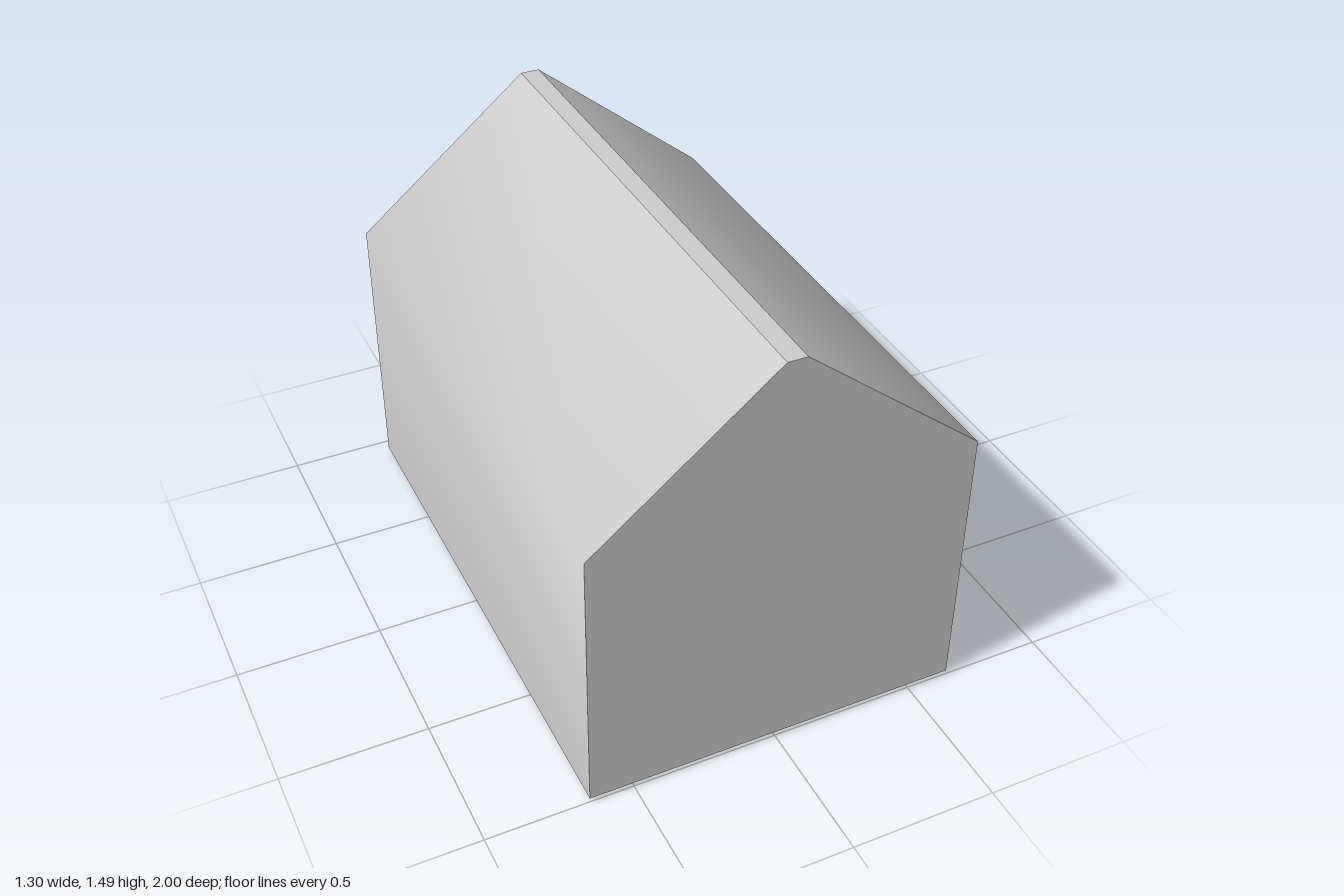
import * as THREE from 'three';

const grey = new THREE.MeshStandardMaterial({ color: 0xcccccc });
const brown = new THREE.MeshStandardMaterial({ color: 0x8b6b4f });

function add(parent, name, geometry, material, x = 0, y = 0, z = 0) {
  const mesh = new THREE.Mesh(geometry, material);
  mesh.name = name;
  mesh.position.set(x, y, z);
  parent.add(mesh);
  return mesh;
}

// Lengthwise surface swept along z from a profile of [x, y] points; normals blend along it
function strip(profile, zFront, zBack) {
  const position = [], index = [];
  profile.forEach(([x, y], i) => {
    position.push(x, y, zFront, x, y, zBack);
    if (i) {
      const a = 2 * (i - 1);
      index.push(a, a + 1, a + 2, a + 1, a + 3, a + 2);
    }
  });
  const g = new THREE.BufferGeometry();
  g.setAttribute('position', new THREE.Float32BufferAttribute(position, 3));
  g.setIndex(index);
  g.computeVertexNormals();
  return g;
}

export function createModel() {
  const house = new THREE.Group();
  house.name = 'house';

  // Shell: smooth eaves, hard ridge and gable edges
  const W = 0.65, base = 0.015, eave = 0.985, top = 1.485, ridge = 0.033;
  const zFront = 1, zBack = -0.94;
  const right = [[W, base], [W, eave], [ridge, top]];
  const left = right.map(([x, y]) => [-x, y]).reverse();
  const shell = new THREE.Group();
  shell.name = 'shell';
  house.add(shell);
  add(shell, 'wallAndRoofPlusX', strip(right, zFront, zBack), grey);
  add(shell, 'wallAndRoofMinusX', strip(left, zFront, zBack), grey);
  add(shell, 'ridge', strip([[ridge, top], [-ridge, top]], zFront, zBack), grey);
  add(shell, 'floor', strip([[-W, base], [W, base]], zFront, zBack), grey);

  const outline = new THREE.Shape([...right, ...left].map(([x, y]) => new THREE.Vector2(x, y)));
  add(shell, 'frontGable', new THREE.ShapeGeometry(outline), grey, 0, 0, zFront);
  add(shell, 'backGable', new THREE.ShapeGeometry(outline), grey, 0, 0, zBack).rotation.y = Math.PI;

  // Door on the back gable
  const door = new THREE.Group();
  door.name = 'door';
  house.add(door);

  // Frame: one rectangle with a rectangular opening
  const F = 0.457, H = 0.775, t = 0.045;
  const rect = (x, y0, y1) => [[-x, y0], [x, y0], [x, y1], [-x, y1]].map(p => new THREE.Vector2(...p));
  const frame = new THREE.Shape(rect(F, 0, H));
  frame.holes.push(new THREE.Path(rect(F - t, t, H - t)));
  add(door, 'doorFrame', new THREE.ExtrudeGeometry(frame, { depth: 0.09, bevelEnabled: false }), brown, 0, 0, -1);

  // Four planks over a backing panel that closes the grooves
  const inner = 2 * (F - t), innerH = H - 2 * t, plankW = inner / 4;
  add(door, 'backingPanel', new THREE.BoxGeometry(inner, innerH, 0.02), brown, 0, H / 2, -0.933);
  for (let i = 0; i < 4; i++) {
    add(door, 'plank' + (i + 1), new THREE.BoxGeometry(plankW - 0.006, innerH, 0.03), brown,
      (i - 1.5) * plankW, H / 2, -0.934);
  }

  // Oval pull ring
  const handle = add(door, 'handle', new THREE.TorusGeometry(0.075, 0.009, 8, 32), brown, -0.295, 0.37, -0.957);
  handle.scale.y = 0.5;

  return house;
}
